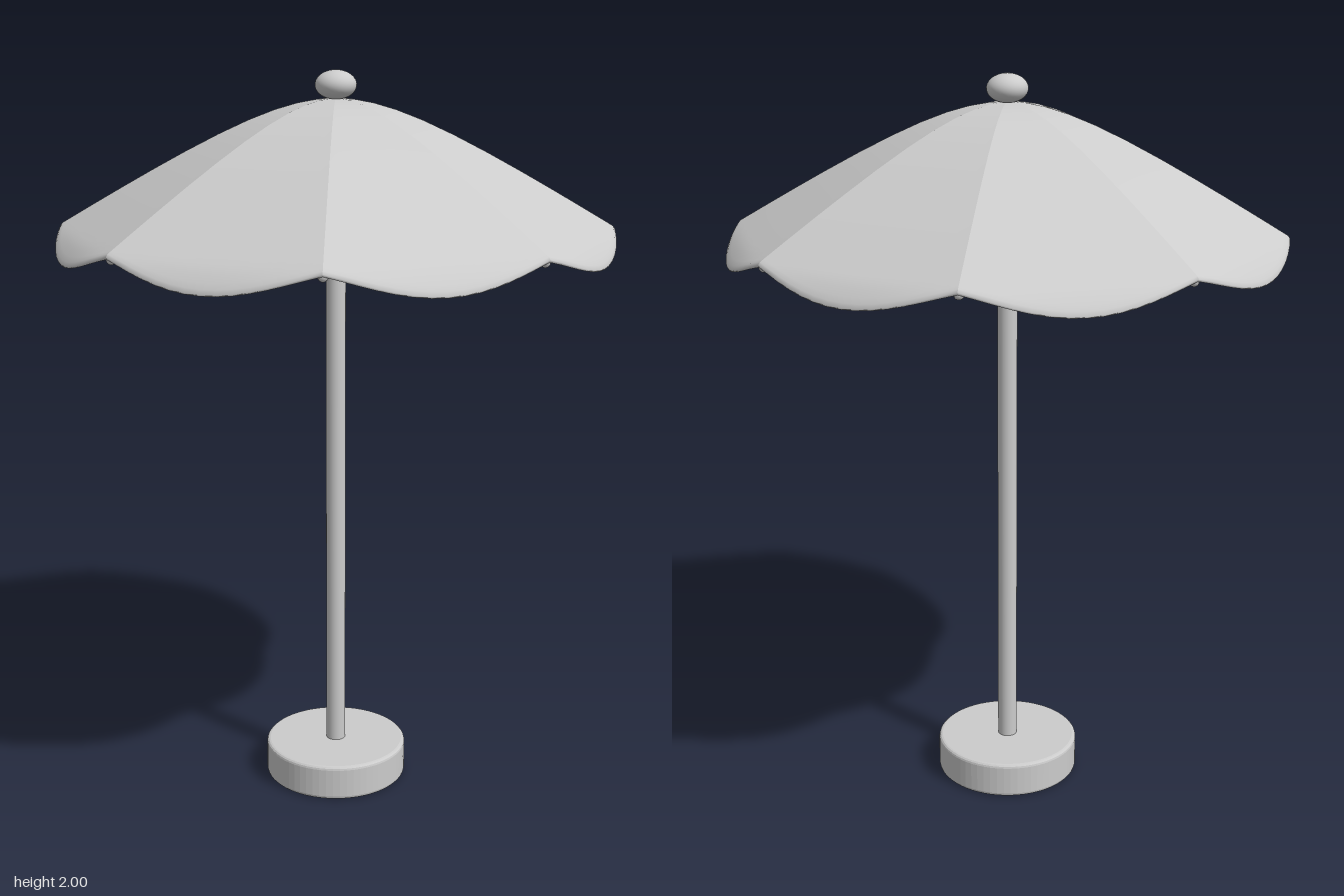
import * as THREE from 'three';

const PANELS = 8, RADIUS = 0.74, HALF = Math.PI / PANELS;
const mat = new THREE.MeshStandardMaterial({ color: 0xcccccc });

// Canopy height at distance R measured along a rib; the hem drops past the rib tips
function slope(R) {
  const hem = Math.max(0, R - RADIUS);
  return 1.927 + 0.15 - Math.hypot(0.15, 0.62 * R) - 6 * hem * hem;
}

// Flat-stretched fabric panel with thickness, cut to a circle so its edge scallops
function panelGeometry() {
  const radii = [0.005, 0.05, 0.1, 0.16, 0.23, 0.31, 0.4, 0.49, 0.57, 0.63, 0.66, 0.68, 0.695, 0.71, 0.725, 0.735];
  const section = [
    ...radii.map(r => [r, 0]),
    [RADIUS, -0.004], [0.738, -0.011], [0.73, -0.016], [0.715, -0.017],
    ...radii.slice(0, -3).reverse().map(r => [r, -0.014]),
  ];
  const steps = 14, rows = section.length, pos = [], index = [];
  for (let i = 0; i <= steps; i++) {
    const d = (i / steps * 2 - 1) * HALF;
    for (const [r, dy] of section) {
      pos.push(r * Math.sin(d), slope(r * Math.cos(d) / Math.cos(HALF)) + dy, r * Math.cos(d));
    }
  }
  for (let i = 0; i < steps; i++) {
    for (let j = 0; j < rows - 1; j++) {
      const a = i * rows + j, c = a + rows;
      index.push(a, a + 1, c, c, a + 1, c + 1);
    }
  }
  const g = new THREE.BufferGeometry();
  g.setAttribute('position', new THREE.Float32BufferAttribute(pos, 3));
  g.setIndex(index);
  g.computeVertexNormals();
  return g;
}

export function createModel() {
  const model = new THREE.Group();
  const add = (name, geometry, parent = model) => {
    const m = new THREE.Mesh(geometry, mat);
    m.name = name;
    parent.add(m);
    return m;
  };

  // Weighted base with bevelled rims
  const s = new THREE.Shape();
  s.absarc(0, 0, 0.19, 0, Math.PI * 2);
  const base = new THREE.ExtrudeGeometry(s, {
    depth: 0.08, bevelSize: 0.01, bevelThickness: 0.01, bevelSegments: 3, curveSegments: 32,
  });
  base.rotateX(-Math.PI / 2).translate(0, 0.01, 0);
  add('base', base);

  // Pole
  add('pole', new THREE.CylinderGeometry(0.027, 0.027, 1.83, 24).translate(0, 0.995, 0));

  // Finial
  add('finial', new THREE.SphereGeometry(0.055, 32, 20).scale(1, 0.7, 1).translate(0, 1.961, 0));

  // Canopy panels and the ribs under their seams
  const canopy = new THREE.Group();
  canopy.name = 'canopy';
  model.add(canopy);
  const panel = panelGeometry();
  const ribPoints = [0.02, 0.15, 0.3, 0.45, 0.6, 0.725]
    .map(r => new THREE.Vector3(0, slope(r) - 0.02, r));
  const rib = new THREE.TubeGeometry(new THREE.CatmullRomCurve3(ribPoints), 24, 0.013, 10);
  const tip = new THREE.SphereGeometry(0.013, 10, 8).translate(0, slope(0.725) - 0.02, 0.725);
  for (let i = 0; i < PANELS; i++) {
    add('canopyPanel', panel, canopy).rotation.y = (i * 2 + 1) * HALF;
    add('rib', rib, canopy).rotation.y = i * 2 * HALF;
    add('ribTip', tip, canopy).rotation.y = i * 2 * HALF;
  }
  return model;
}
